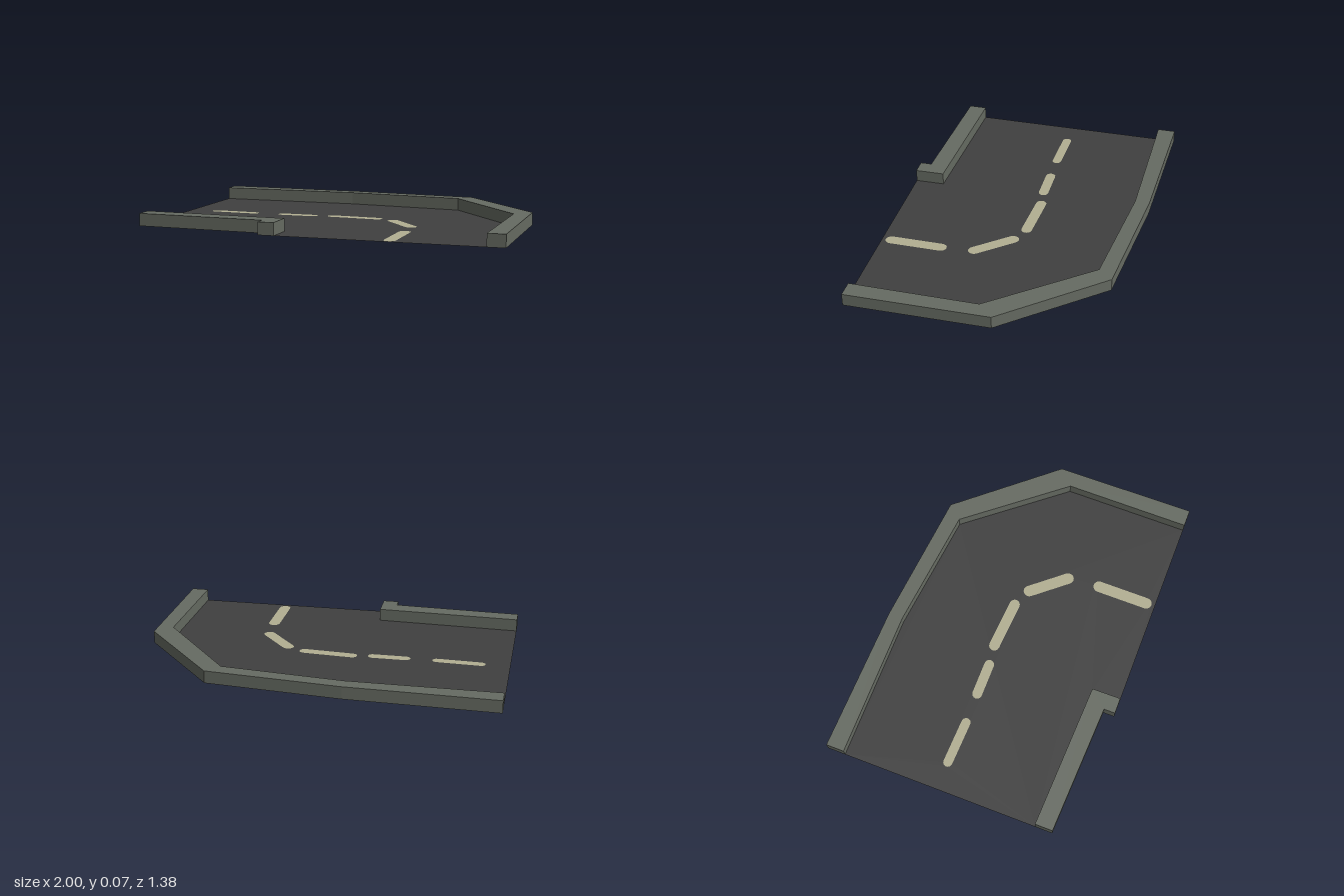
import * as THREE from 'three';
import { mergeGeometries } from 'three/addons/utils/BufferGeometryUtils.js';

const HEIGHT = 0.068;

const material = (name, color) => {
  const m = new THREE.MeshStandardMaterial({ color, side: THREE.DoubleSide });
  m.name = name;
  return m;
};

// Plan points are [x, z]; shapes are drawn with y = -z and then laid flat.
const toShape = (pts) => new THREE.Shape(pts.map(([x, z]) => new THREE.Vector2(x, -z)));
const flat = (shape, y = 0) => new THREE.ShapeGeometry(shape).rotateX(-Math.PI / 2).translate(0, y, 0);

// Kerb: a top face and upright walls, hollow underneath.
function kerbGeometry(pts) {
  const outline = pts.map(([x, z]) => new THREE.Vector2(x, -z));
  if (THREE.ShapeUtils.isClockWise(outline)) outline.reverse();
  const parts = [flat(new THREE.Shape(outline), HEIGHT).toNonIndexed()];
  outline.forEach((a, i) => {
    const b = outline[(i + 1) % outline.length];
    const wall = new THREE.PlaneGeometry(a.distanceTo(b), HEIGHT).toNonIndexed();
    wall.rotateY(Math.atan2(b.y - a.y, b.x - a.x));
    wall.translate((a.x + b.x) / 2, HEIGHT / 2, -(a.y + b.y) / 2);
    parts.push(wall);
  });
  return mergeGeometries(parts);
}

// Round-ended dash between two cap centres.
function dashPoints([x1, z1, x2, z2, r]) {
  const dir = Math.atan2(z2 - z1, x2 - x1), pts = [], steps = 8;
  for (const [x, z, start] of [[x2, z2, dir - Math.PI / 2], [x1, z1, dir + Math.PI / 2]]) {
    for (let i = 0; i <= steps; i++) {
      const t = start + (Math.PI * i) / steps;
      pts.push([x + r * Math.cos(t), z + r * Math.sin(t)]);
    }
  }
  return pts;
}

export function createModel() {
  const group = new THREE.Group();
  group.name = 'roadBend';
  const asphalt = material('asphalt', 0x404040);
  const concrete = material('concrete', 0x666b62);
  const paint = material('linePaint', 0xb2af92);

  const add = (name, geometry, mat) => {
    const mesh = new THREE.Mesh(geometry, mat);
    mesh.name = name;
    group.add(mesh);
  };

  // Kerb edges in plan
  const backInner = [[-1, -0.59], [-0.19, -0.59], [0.48, -0.52], [0.905, 0], [0.905, 0.69]];
  const backOuter = [[-1, -0.69], [-0.19, -0.67], [0.548, -0.6], [0.992, -0.085], [1, 0.69]];
  const frontInner = [[-1, 0.5], [-0.197, 0.53], [-0.195, 0.69]];
  const frontOuter = [[-1, 0.598], [-0.283, 0.628], [-0.283, 0.69]];

  add('outerKerb', kerbGeometry([...backInner, ...backOuter.slice().reverse()]), concrete);
  add('innerKerb', kerbGeometry([...frontInner, ...frontOuter.slice().reverse()]), concrete);

  // Road sheet with the centre-line dashes inlaid
  const dashes = [
    [-0.842, -0.058, -0.602, -0.049, 0.025],
    [-0.43, -0.052, -0.249, -0.052, 0.027],
    [-0.136, -0.066, 0.133, -0.048, 0.029],
    [0.238, 0.0, 0.388, 0.178, 0.032],
    [0.404, 0.358, 0.404, 0.638, 0.032],
  ].map(dashPoints);
  const road = toShape([...backInner, ...frontInner.slice().reverse()]);
  dashes.forEach((pts, i) => {
    road.holes.push(toShape(pts));
    add(`centreDash${i + 1}`, flat(toShape(pts)), paint);
  });
  add('roadSurface', flat(road), asphalt);
  return group;
}
